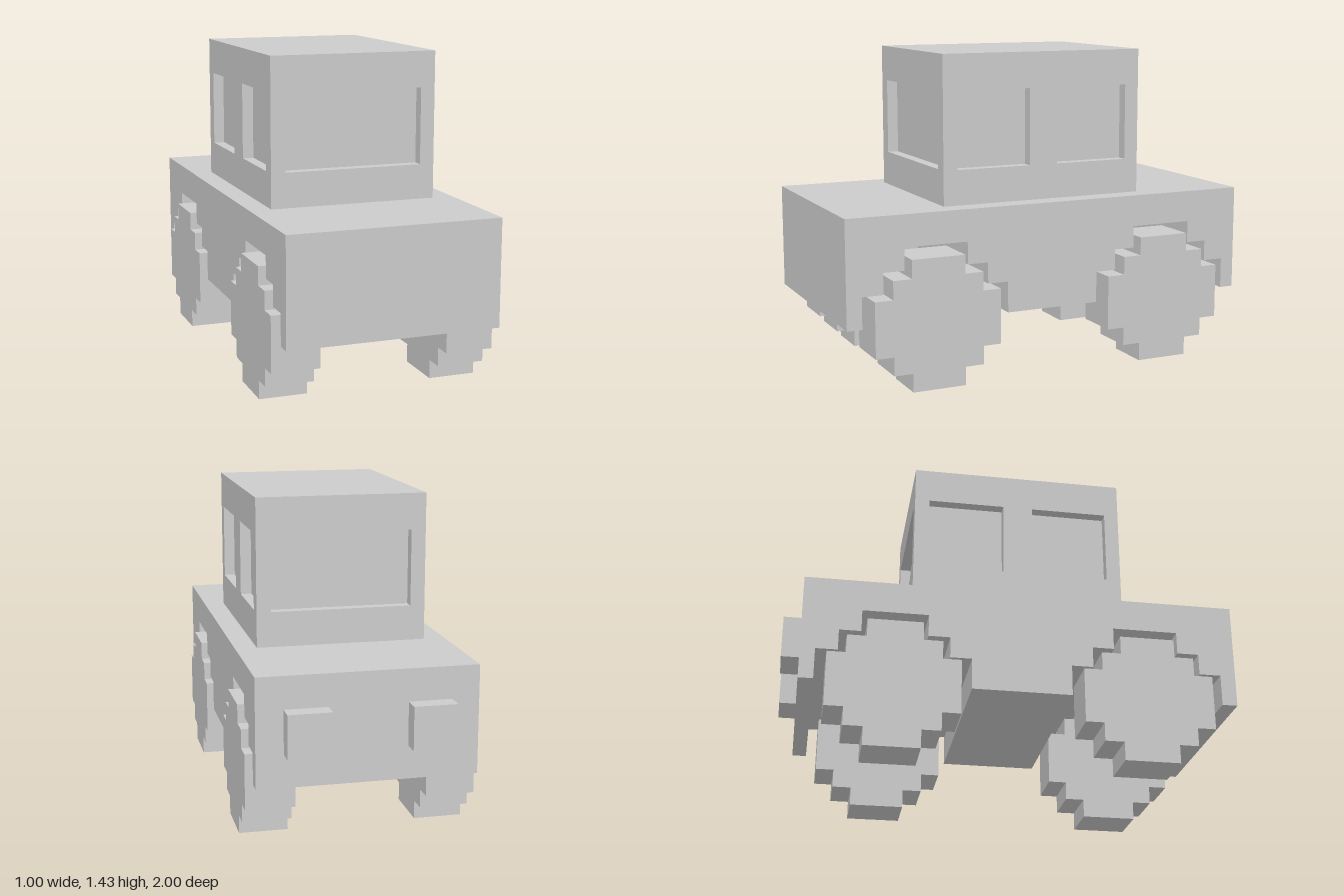
import * as THREE from 'three';

const material = new THREE.MeshStandardMaterial({ color: 0xcccccc, flatShading: true });

function add(parent, name, geometry, x = 0, y = 0, z = 0) {
  const mesh = new THREE.Mesh(geometry, material);
  mesh.name = name;
  mesh.position.set(x, y, z);
  parent.add(mesh);
  return mesh;
}

// Extrusion centred on its own thickness
function slab(shape, depth) {
  return new THREE.ExtrudeGeometry(shape, { depth, bevelEnabled: false }).translate(0, 0, -depth / 2);
}

// Side profile drawn in (z, y), extruded across x
const sideSlab = (shape, width) => slab(shape, width).rotateY(-Math.PI / 2);

const toShape = (points) => new THREE.Shape(points.map(([a, b]) => new THREE.Vector2(a, b)));

const rect = (a0, a1, b0, b1) => [[a0, b0], [a1, b0], [a1, b1], [a0, b1]];

// Rectangular wall with window openings
function wall(outline, windows) {
  const shape = toShape(outline);
  for (const w of windows) shape.holes.push(toShape(w));
  return shape;
}

// Stepped wheel arch, listed from rear to front
function arch(c) {
  const steps = [[0.337, 0.295], [0.337, 0.435], [0.241, 0.435], [0.241, 0.53], [0.145, 0.53], [0.145, 0.63]];
  return [
    ...steps.map(([d, y]) => [c - d, y]),
    ...steps.slice().reverse().map(([d, y]) => [c + d, y]),
  ];
}

export function createModel() {
  const model = new THREE.Group();
  model.name = 'blockCar';
  const frontAxle = 0.595, rearAxle = -0.52;

  // Lower body with arches cut through its full width
  const bodyProfile = toShape([
    [-0.922, 0.295], ...arch(rearAxle), ...arch(frontAxle),
    [1, 0.295], [1, 0.772], [-0.922, 0.772],
  ]);
  add(model, 'body', sideSlab(bodyProfile, 0.952));

  // Cab: solid core wrapped in walls with recessed windows
  const cab = new THREE.Group();
  cab.name = 'cab';
  model.add(cab);
  const t = 0.05, halfW = 0.38, front = 0.52, back = -0.442, bottom = 0.772, top = 1.43;
  add(cab, 'cabCore', new THREE.BoxGeometry(2 * (halfW - t), top - bottom, front - back - 2 * t),
    0, (top + bottom) / 2, (front + back) / 2);

  const endWall = wall(rect(-halfW, halfW, bottom, top), [rect(-0.315, 0.315, 0.928, 1.27)]);
  add(cab, 'frontWindowWall', slab(endWall, t), 0, 0, front - t / 2);
  add(cab, 'rearWindowWall', slab(endWall, t), 0, 0, back + t / 2);

  const sideWall = wall(rect(back + t, front - t, bottom, top), [
    rect(0.107, 0.455, 0.928, 1.27),
    rect(-0.376, -0.028, 0.928, 1.27),
  ]);
  for (const [side, s] of [['left', 1], ['right', -1]]) {
    add(cab, side + 'WindowWall', sideSlab(sideWall, t), s * (halfW - t / 2));
  }

  // Stepped wheels: one quarter mirrored around the hub
  const quarter = [[0.289, 0.124], [0.207, 0.124], [0.207, 0.207], [0.122, 0.207], [0.122, 0.29]];
  const half = [...quarter, ...quarter.slice().reverse().map(([a, b]) => [-a, b])];
  const wheelProfile = toShape([...half, ...half.map(([a, b]) => [-a, -b])]);
  const wheelGeometry = sideSlab(wheelProfile, 0.215);

  for (const [side, s] of [['Left', 1], ['Right', -1]]) {
    add(model, 'front' + side + 'Wheel', wheelGeometry, s * 0.395, 0.29, frontAxle);
    add(model, 'rear' + side + 'Wheel', wheelGeometry, s * 0.395, 0.29, rearAxle);
    // Tail lights
    add(model, 'tailLight' + side, new THREE.BoxGeometry(0.188, 0.19, 0.078), s * 0.264, 0.535, -0.961);
  }
  return model;
}
